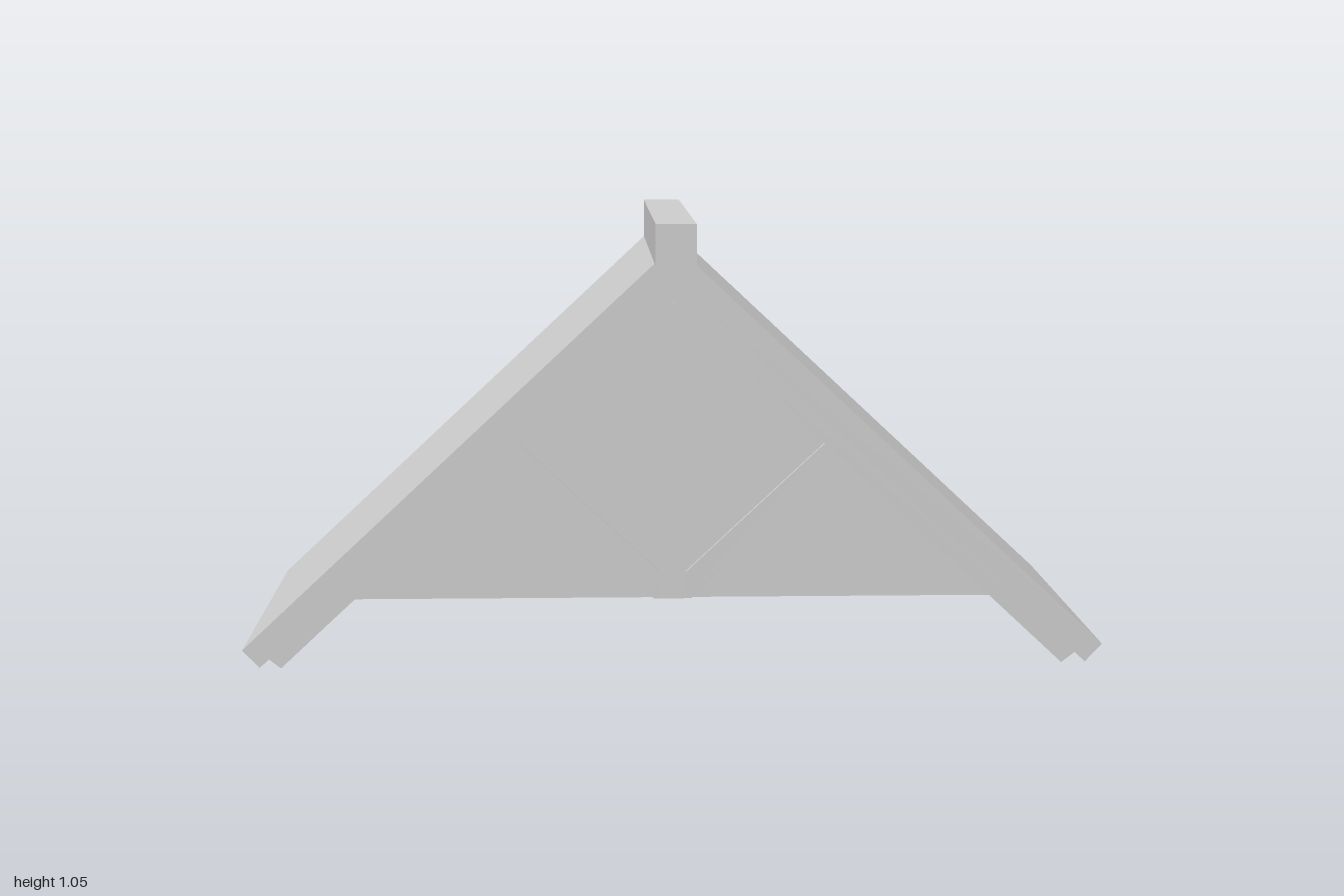
import * as THREE from 'three';

const material = new THREE.MeshStandardMaterial({ color: 0xcccccc, flatShading: true, side: THREE.DoubleSide });
const SLOPE = 0.935; // rise over run of the roof

// Extrudes an outline from z0 to z1; openBack drops the cap at z0
function prism(name, points, z0, z1, openBack = false) {
  const shape = new THREE.Shape(points.map(([x, y]) => new THREE.Vector2(x, y)));
  const geometry = new THREE.ExtrudeGeometry(shape, { depth: z1 - z0, bevelEnabled: false });
  if (openBack) {
    const p = geometry.attributes.position;
    const kept = [];
    for (let i = 0; i < p.count; i += 3) {
      const onBack = [0, 1, 2].every((k) => Math.abs(p.getZ(i + k)) < 1e-6);
      if (!onBack) kept.push(i, i + 1, i + 2);
    }
    geometry.setIndex(kept);
    geometry.clearGroups();
  }
  geometry.translate(0, 0, z0);
  const mesh = new THREE.Mesh(geometry, material);
  mesh.name = name;
  return mesh;
}

// Inverted V outline: outer and inner ridge heights and half spans
function chevron(topY, outerX, bottomY, innerX) {
  return [
    [-outerX, topY - SLOPE * outerX], [-innerX, bottomY - SLOPE * innerX],
    [0, bottomY],
    [innerX, bottomY - SLOPE * innerX], [outerX, topY - SLOPE * outerX],
    [0, topY],
  ];
}

const rectangle = (x0, y0, x1, y1) => [[x0, y0], [x1, y0], [x1, y1], [x0, y1]];

export function createModel() {
  const model = new THREE.Group();
  model.name = 'gableRoof';

  // Roof slopes and ridge beam, hollow and open at the back
  model.add(prism('roofSlopes', chevron(1.002, 1, 0.923, 0.96), -0.523, 0.423, true));
  model.add(prism('ridgeBeam', rectangle(-0.046, 0.96, 0.046, 1.055), -0.523, 0.523, true));

  // Gable truss under the slopes
  const truss = new THREE.Group();
  truss.name = 'gableTruss';
  truss.add(prism('rafters', chevron(0.923, 0.955, 0.865, 0.921), 0.263, 0.338));
  truss.add(prism('kingPost', rectangle(-0.03, 0.16, 0.03, 0.86), 0.285, 0.315));
  for (const side of [-1, 1]) {
    const outline = [[0.03, 0.16], [0.045, 0.16], [0.402, 0.495], [0.362, 0.532], [0.03, 0.222]];
    truss.add(prism(side > 0 ? 'leftBrace' : 'rightBrace', outline.map(([x, y]) => [side * x, y]), 0.287, 0.313));
  }

  // Thin infill sheet between the rafters
  const infill = new THREE.Shape([[-0.76, 0.16], [0.76, 0.16], [0, 0.87]].map(([x, y]) => new THREE.Vector2(x, y)));
  const panel = new THREE.Mesh(new THREE.ShapeGeometry(infill), material);
  panel.name = 'gablePanel';
  panel.position.z = 0.3;
  truss.add(panel);

  model.add(truss);
  return model;
}
